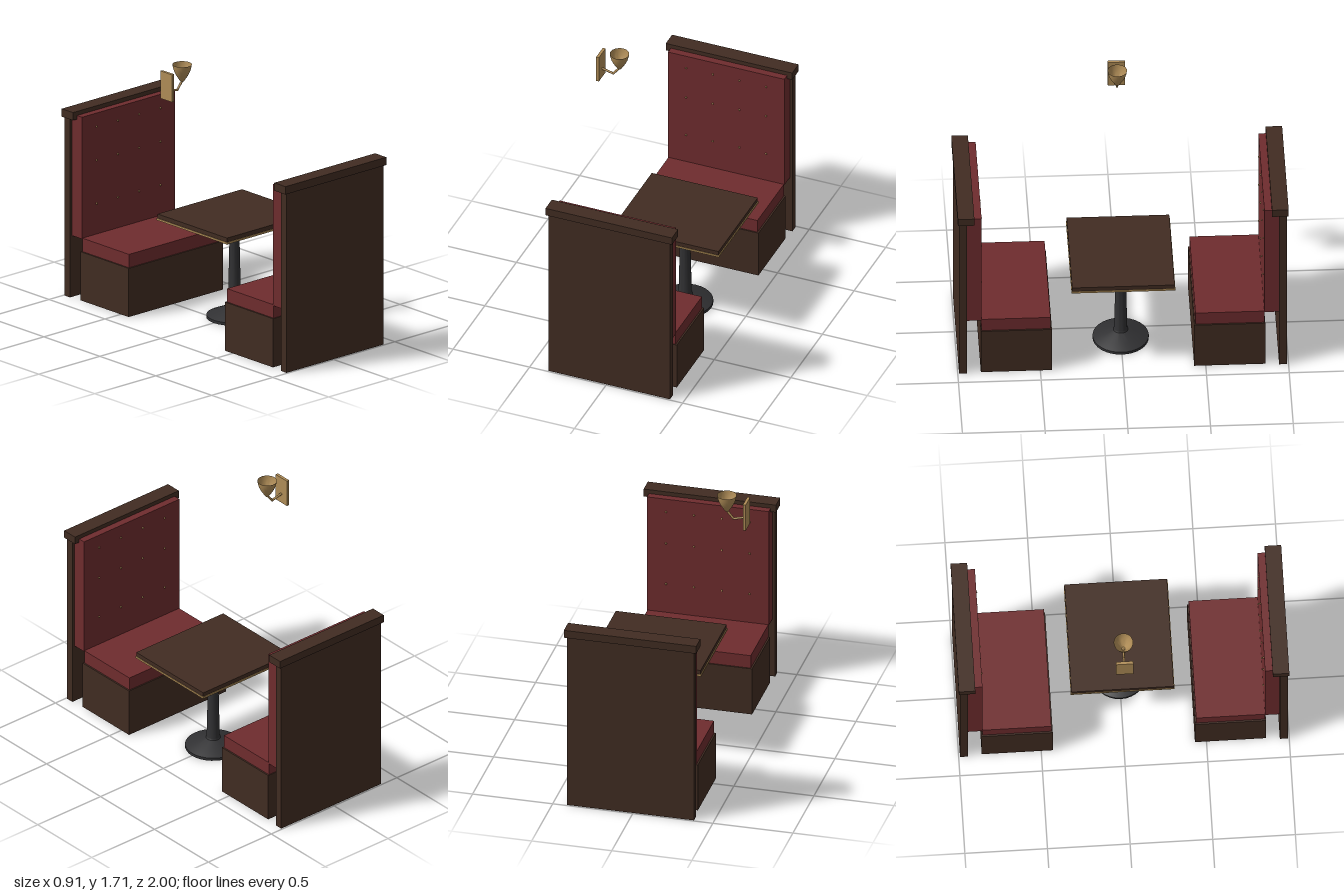
import * as THREE from 'three';
import { toCreasedNormals } from 'three/addons/utils/BufferGeometryUtils.js';

function material(name, color, side = THREE.FrontSide) {
  const m = new THREE.MeshStandardMaterial({ color, side });
  m.name = name;
  return m;
}

export function createModel() {
  const wood = material('dark wood', 0x412c22);
  const leather = material('red leather', 0x6f2c2e);
  const iron = material('black iron', 0x303032);
  const brass = material('brass', 0xb08d57, THREE.DoubleSide);

  const model = new THREE.Group();
  model.name = 'diningBooth';

  function add(parent, name, geometry, mat, x = 0, y = 0, z = 0) {
    const mesh = new THREE.Mesh(geometry, mat);
    mesh.name = name;
    mesh.position.set(x, y, z);
    parent.add(mesh);
    return mesh;
  }

  // Box given by its extents on each axis
  function box(parent, name, mat, [x0, x1], [y0, y1], [z0, z1]) {
    return add(parent, name, new THREE.BoxGeometry(x1 - x0, y1 - y0, Math.abs(z1 - z0)), mat,
      (x0 + x1) / 2, (y0 + y1) / 2, (z0 + z1) / 2);
  }

  function lathe(points, segments) {
    const profile = points.map(([r, y]) => new THREE.Vector2(r, y));
    return toCreasedNormals(new THREE.LatheGeometry(profile, segments), 0.5);
  }

  // Two facing benches
  const benchX = 0.017;
  for (const s of [1, -1]) {
    const bench = new THREE.Group();
    bench.name = s > 0 ? 'frontBench' : 'backBench';
    const part = (name, mat, halfWidth, y, z0, z1) =>
      box(bench, name, mat, [benchX - halfWidth, benchX + halfWidth], y, [s * z0, s * z1]);
    part('seatBase', wood, 0.387, [0, 0.31], 0.43, 0.86);
    part('seatCushion', leather, 0.377, [0.31, 0.395], 0.438, 0.855);
    part('backPanel', wood, 0.397, [0, 1.142], 0.943, 0.992);
    part('backCushion', leather, 0.38, [0.39, 1.166], 0.855, 0.943);
    part('topCap', wood, 0.413, [1.142, 1.192], 0.9, 1);

    // Tufting buttons
    const button = new THREE.SphereGeometry(0.006, 10, 8);
    for (const y of [0.59, 0.866, 1.08]) {
      for (let i = 0; i < 4; i++) {
        add(bench, 'tuftButton', button, brass, benchX + (i - 1.5) * 0.174, y, s * 0.853);
      }
    }
    model.add(bench);
  }

  // Table with a brass edge strip on the underside
  const table = new THREE.Group();
  table.name = 'table';
  table.position.x = 0.103;
  box(table, 'tableTop', wood, [-0.346, 0.346], [0.622, 0.658], [-0.31, 0.31]);
  for (const s of [1, -1]) {
    box(table, 'edgeTrimLong', brass, [-0.35, 0.35], [0.619, 0.631], [s * 0.302, s * 0.314]);
    box(table, 'edgeTrimShort', brass, [s > 0 ? 0.338 : -0.35, s > 0 ? 0.35 : -0.338],
      [0.619, 0.631], [-0.302, 0.302]);
  }
  add(table, 'pedestal', lathe([
    [0, 0], [0.17, 0], [0.17, 0.018], [0.12, 0.04], [0.045, 0.066],
    [0.04, 0.075], [0.029, 0.57], [0.045, 0.59], [0.082, 0.622], [0, 0.622],
  ], 32), iron);
  model.add(table);

  // Wall lamp: plate, bent arm and open shade
  const lamp = new THREE.Group();
  lamp.name = 'wallLamp';
  box(lamp, 'wallPlate', brass, [-0.457, -0.439], [1.508, 1.683], [-0.052, 0.052]);
  const bend = [[-0.44, 1.571], [-0.367, 1.553], [-0.326, 1.603]]
    .map(([x, y]) => new THREE.Vector3(x, y, 0));
  for (let i = 0; i < 2; i++) {
    const path = new THREE.LineCurve3(bend[i], bend[i + 1]);
    add(lamp, 'lampArm', new THREE.TubeGeometry(path, 1, 0.007, 10), brass);
  }
  add(lamp, 'armJoint', new THREE.SphereGeometry(0.007, 10, 8), brass, -0.367, 1.553, 0);
  add(lamp, 'lampShade', lathe([
    [0, 0], [0.011, 0], [0.023, 0.018], [0.038, 0.042], [0.049, 0.065], [0.056, 0.09], [0.059, 0.108],
  ], 28), brass, -0.326, 1.6, 0);
  model.add(lamp);

  return model;
}
